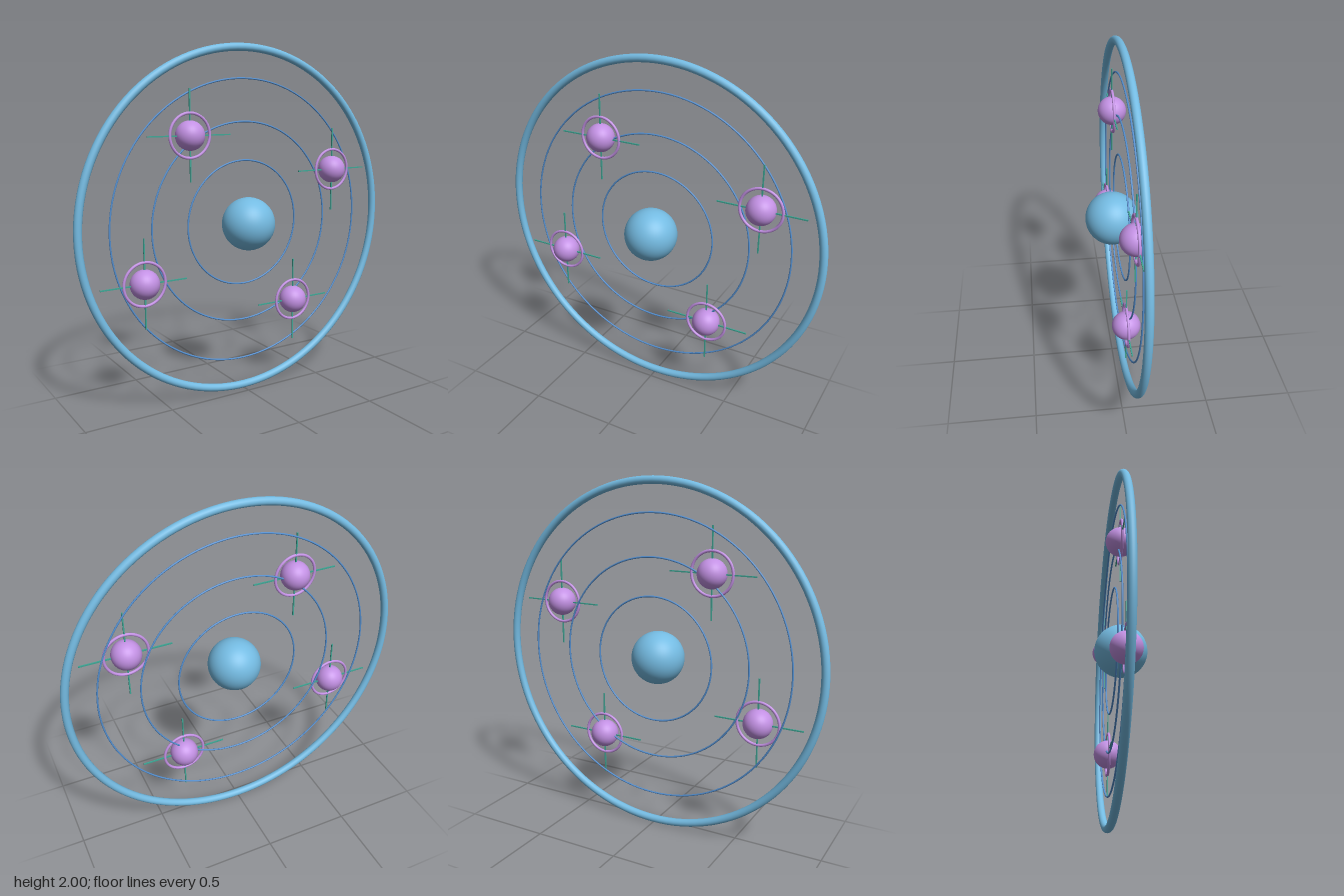
import * as THREE from 'three';

const mat = (name, color) => new THREE.MeshStandardMaterial({ name, color });

export function createModel() {
  const skyBlue = mat('sky blue', 0x74bbe2);
  const violet = mat('violet', 0xc391e4);
  const midBlue = mat('mid blue', 0x5590d0);
  const teal = mat('teal', 0x3fa594);

  const model = new THREE.Group();
  model.name = 'orbitDial';

  const add = (parent, name, geometry, material, x = 0, y = 0, z = 0) => {
    const mesh = new THREE.Mesh(geometry, material);
    mesh.name = name;
    mesh.position.set(x, y, z);
    parent.add(mesh);
    return mesh;
  };

  // Central globe and heavy outer rim
  const ringZ = -0.053;
  add(model, 'centralGlobe', new THREE.SphereGeometry(0.151, 48, 32), skyBlue, 0, 1, 0);
  add(model, 'outerRim', new THREE.TorusGeometry(0.978, 0.022, 20, 128), skyBlue, 0, 1, ringZ);

  // Thin concentric orbit rings
  for (const radius of [0.357, 0.573, 0.81]) {
    add(model, 'orbitRing', new THREE.TorusGeometry(radius, 0.005, 8, 112), midBlue, 0, 1, ringZ);
  }

  // Four satellites, each a ball with a ring and a crosshair
  const ball = new THREE.SphereGeometry(0.081, 32, 24);
  const halo = new THREE.TorusGeometry(0.12, 0.008, 10, 64);
  const bar = new THREE.BoxGeometry(0.5, 0.007, 0.007);
  for (const [x, y] of [[-0.344, 0.504], [0.627, 0.274]]) {
    for (const side of [1, -1]) {
      const satellite = new THREE.Group();
      satellite.name = 'satellite';
      satellite.position.set(side * x, 1 + side * y, -0.04);
      add(satellite, 'satelliteBall', ball, violet);
      add(satellite, 'satelliteRing', halo, violet);
      add(satellite, 'crosshairHorizontal', bar, teal);
      add(satellite, 'crosshairVertical', bar, teal).rotation.z = Math.PI / 2;
      model.add(satellite);
    }
  }

  return model;
}
